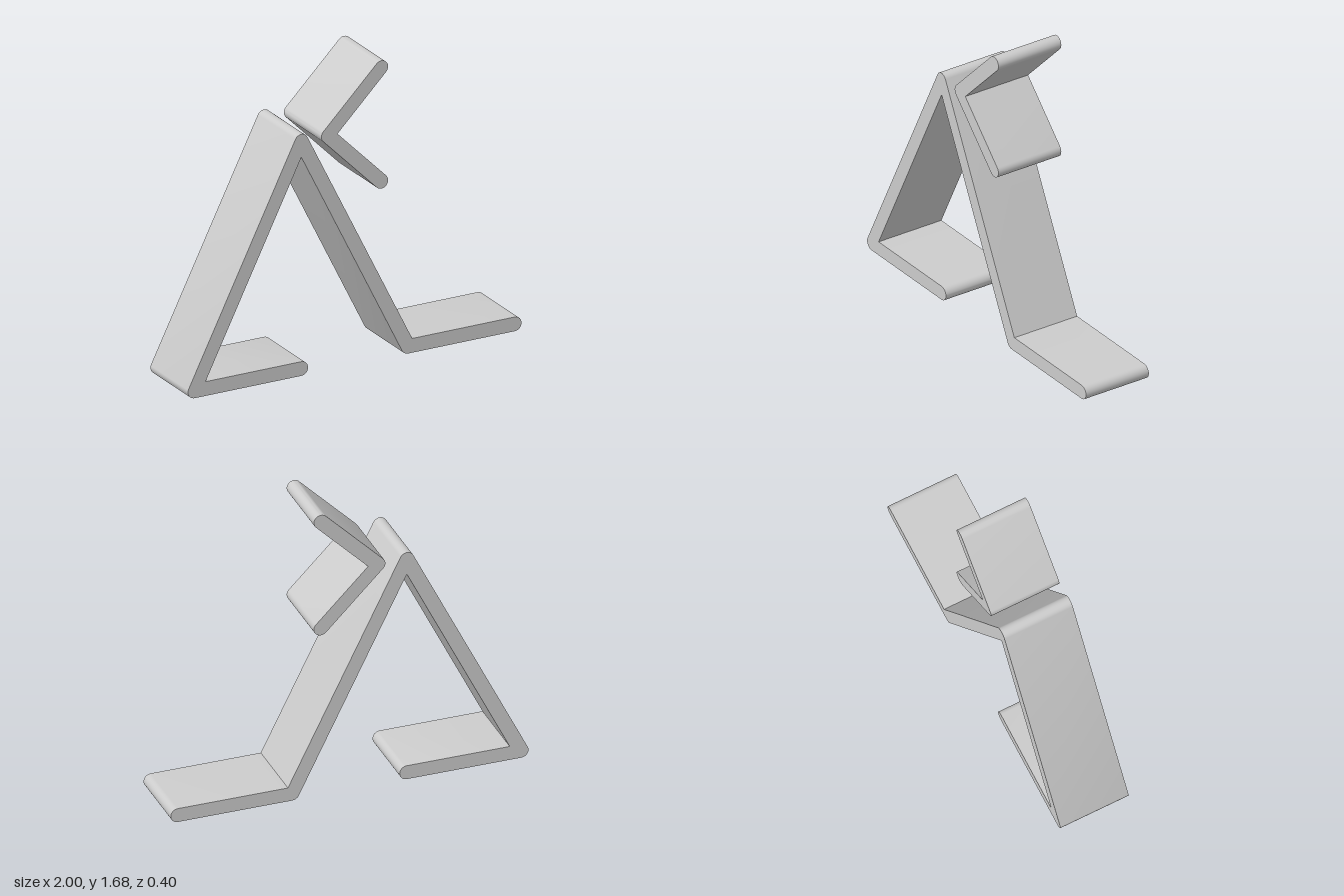
import * as THREE from 'three';
import { toCreasedNormals } from 'three/addons/utils/BufferGeometryUtils.js';

const RADIUS = 0.04; // half the bar thickness
const DEPTH = 0.4;

// Outline of a thick line: rounded ends and outer bends, sharp inner bends.
function barOutline(path) {
  const loop = [...path, ...path.slice(1, -1).reverse()];
  const n = loop.length;
  const outline = [];
  loop.forEach(([x, y], i) => {
    const [px, py] = loop[(i + n - 1) % n];
    const [nx, ny] = loop[(i + 1) % n];
    const start = Math.atan2(y - py, x - px) - Math.PI / 2;
    let turn = Math.atan2(ny - y, nx - x) - Math.PI / 2 - start;
    while (turn > Math.PI + 1e-6) turn -= 2 * Math.PI;
    while (turn < -Math.PI + 1e-6) turn += 2 * Math.PI;
    if (turn > 0) {
      const steps = Math.ceil(turn / (Math.PI / 16));
      for (let k = 0; k <= steps; k++) {
        const a = start + (turn * k) / steps;
        outline.push(new THREE.Vector2(x + RADIUS * Math.cos(a), y + RADIUS * Math.sin(a)));
      }
    } else {
      const a = start + turn / 2;
      const reach = RADIUS / Math.cos(turn / 2);
      outline.push(new THREE.Vector2(x + reach * Math.cos(a), y + reach * Math.sin(a)));
    }
  });
  return outline;
}

function bentBar(name, path, material) {
  const geometry = new THREE.ExtrudeGeometry(new THREE.Shape(barOutline(path)), {
    depth: DEPTH,
    bevelEnabled: false,
  });
  geometry.translate(0, 0, -DEPTH / 2);
  const mesh = new THREE.Mesh(toCreasedNormals(geometry, Math.PI / 7), material);
  mesh.name = name;
  return mesh;
}

export function createModel() {
  const model = new THREE.Group();
  model.name = 'bentBarSculpture';
  const grey = new THREE.MeshStandardMaterial({ color: 0xcccccc });
  grey.name = 'light grey';

  // Foot, two sloping legs and second foot in one continuous bar
  model.add(bentBar('legs', [[-0.32, 0.04], [-0.96, 0.04], [-0.32, 1.32], [0.32, 0.04], [0.96, 0.04]], grey));
  // Separate angled bar floating beside the apex
  model.add(bentBar('head', [[0.16, 1.64], [-0.16, 1.32], [0.16, 1.0]], grey));
  return model;
}
